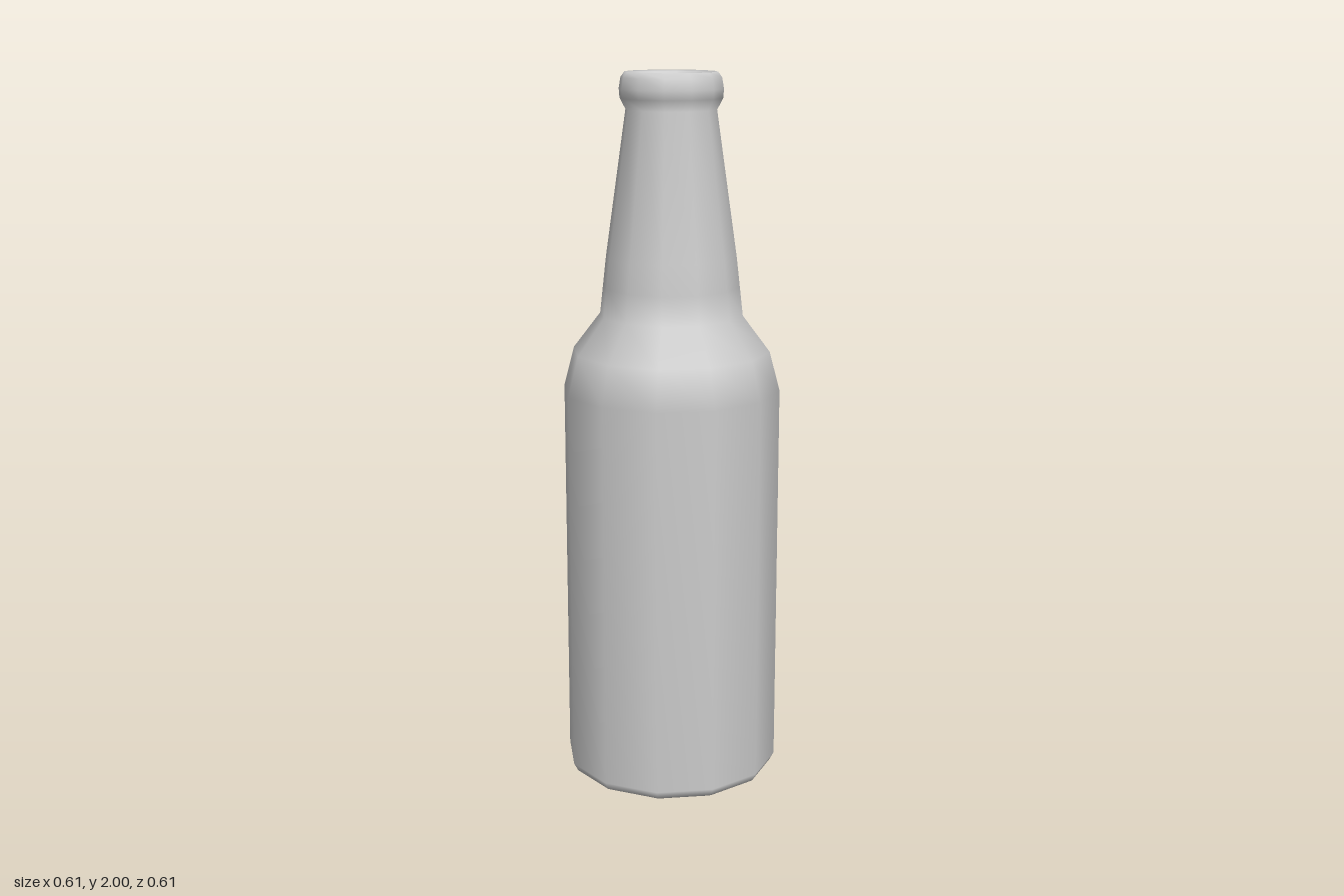
import * as THREE from 'three';

const SIDES = 12;

export function createModel() {
  const model = new THREE.Group();
  model.name = 'bottle';
  const material = new THREE.MeshStandardMaterial({ color: 0xcccccc, side: THREE.DoubleSide });

  // Revolves a [radius, height] profile, listed from bottom to top
  const turn = (name, profile) => {
    const points = profile.map(([r, y]) => new THREE.Vector2(r, y));
    const mesh = new THREE.Mesh(new THREE.LatheGeometry(points, SIDES), material);
    mesh.name = name;
    model.add(mesh);
  };

  // Base, straight wall, shoulder, tapered neck and rolled open lip in one smooth shell
  turn('bottleShell', [
    [0, 0], [0.27, 0], [0.293, 0.012], [0.305, 0.035],
    [0.305, 1.13], [0.276, 1.24], [0.2, 1.34],
    [0.191, 1.42], [0.182, 1.5], [0.125, 1.9],
    [0.141, 1.93], [0.143, 1.955], [0.138, 1.985],
    [0.127, 2], [0.113, 1.997], [0.102, 1.975],
  ]);

  return model;
}
